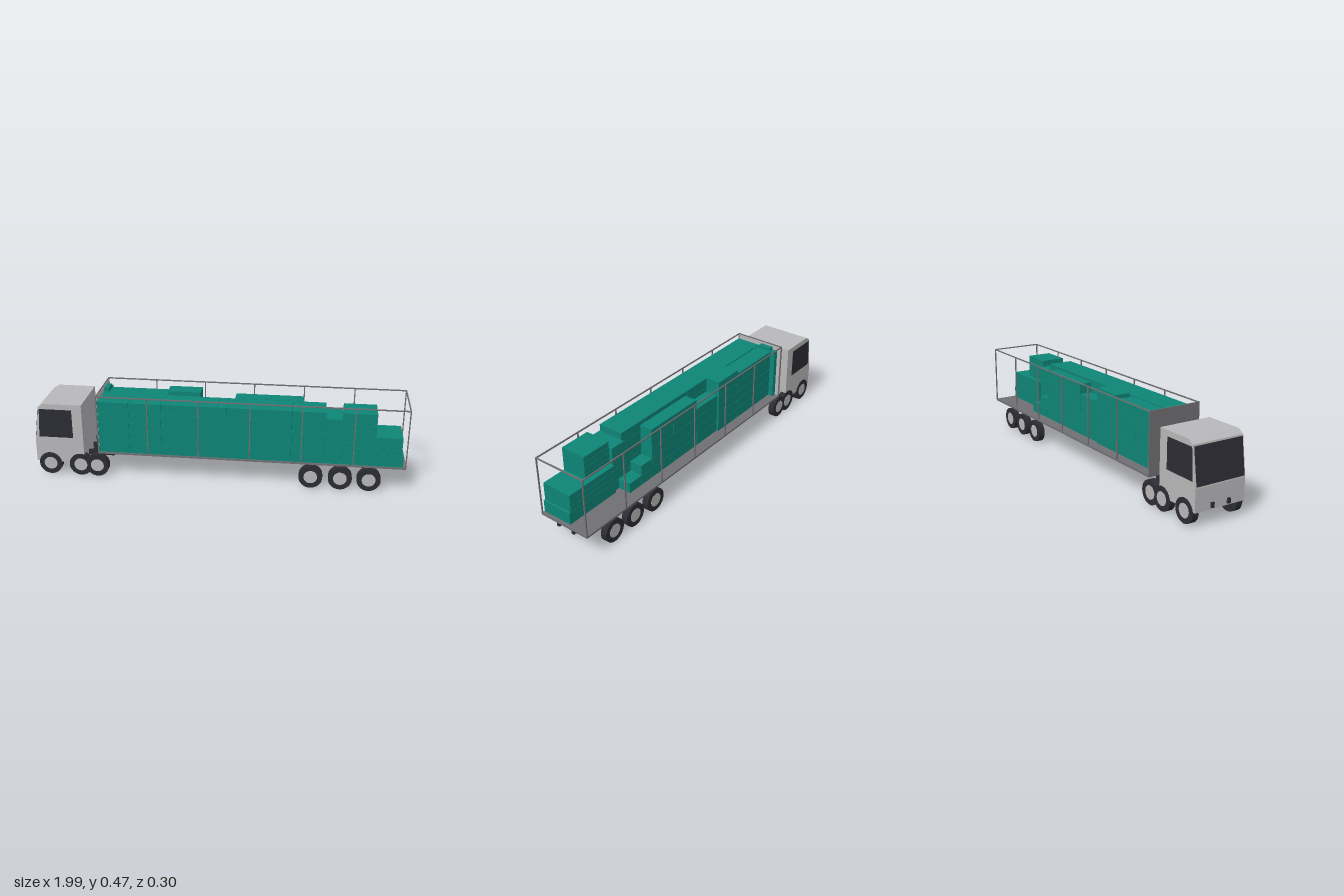
import * as THREE from 'three';

const mat = (name, color) => {
  const m = new THREE.MeshStandardMaterial({ color, flatShading: false });
  m.name = name;
  return m;
};

export function createModel() {
  const root = new THREE.Group();
  root.name = 'cargoTruck';
  const paint = mat('light grey paint', 0xb8b8ba);
  const steel = mat('trailer grey', 0x707074);
  const dark = mat('dark rubber and glass', 0x2c2c34);
  const teal = mat('teal cargo', 0x0e8576);

  const add = (name, geo, m, parent = root) => {
    const mesh = new THREE.Mesh(geo, m);
    mesh.name = name;
    parent.add(mesh);
    return mesh;
  };
  // Box given by its minimum and maximum on each axis
  const box = (name, m, x0, x1, y0, y1, z0, z1, parent = root) => {
    const b = add(name, new THREE.BoxGeometry(x1 - x0, y1 - y0, z1 - z0), m, parent);
    b.position.set((x0 + x1) / 2, (y0 + y1) / 2, (z0 + z1) / 2);
    return b;
  };

  // Cab: side profile extruded across the width
  const W = 0.146;
  const profile = new THREE.Shape([
    [-0.99, 0.075], [-0.725, 0.075], [-0.725, 0.41], [-0.93, 0.41], [-0.962, 0.39], [-0.99, 0.19],
  ].map(([x, y]) => new THREE.Vector2(x, y)));
  const cab = add('cab', new THREE.ExtrudeGeometry(profile, { depth: 2 * W, bevelEnabled: false }), paint);
  cab.position.z = -W;

  // Windshield on the sloping front
  const shield = add('windshield', new THREE.BoxGeometry(0.006, 0.185, 0.28), dark);
  shield.position.set(-0.976, 0.29, 0);
  shield.rotation.z = -Math.atan2(0.028, 0.2);

  // Side windows and tractor rails
  const pane = new THREE.Shape([
    [-0.967, 0.22], [-0.78, 0.22], [-0.78, 0.38], [-0.957, 0.38],
  ].map(([x, y]) => new THREE.Vector2(x, y)));
  for (const s of [1, -1]) {
    const w = add('sideWindow', new THREE.ExtrudeGeometry(pane, { depth: 0.003, bevelEnabled: false }), dark);
    w.position.z = s * W - 0.0015;
    const z = s * 0.048;
    box('tractorRail', dark, -1, -0.58, 0.084, 0.11, z - 0.008, z + 0.008);
    box('trailerRail', dark, -0.645, 0.985, 0.11, 0.138, z - 0.008, z + 0.008);
  }
  box('couplingPlate', dark, -0.675, -0.57, 0.118, 0.138, -0.034, 0.034);

  // Wheels with light hub discs on the outside
  const tyreGeo = new THREE.CylinderGeometry(0.063, 0.063, 0.035, 32).rotateX(Math.PI / 2);
  const hubGeo = new THREE.CylinderGeometry(0.036, 0.036, 0.004, 32).rotateX(Math.PI / 2);
  for (const x of [-0.915, -0.747, -0.655, 0.5, 0.655, 0.805]) {
    for (const s of [1, -1]) {
      const wheel = new THREE.Group();
      wheel.name = 'wheel';
      wheel.position.set(x, 0.064, s * 0.1305);
      add('tyre', tyreGeo, dark, wheel);
      add('hub', hubGeo, paint, wheel).position.z = s * 0.0165;
      root.add(wheel);
    }
  }

  // Trailer deck and front wall
  const X0 = -0.645, X1 = 0.992, D = 0.149, T = 0.006, TOP = 0.467;
  box('deck', steel, X0, X1, 0.137, 0.147, -D, D);
  box('frontWall', steel, X0, X0 + 0.005, 0.147, TOP, -D, D);
  box('frontWallLining', paint, X0 + 0.005, X0 + 0.007, 0.147, TOP - T, T - D, D - T);

  // Open frame: posts, top rails and rear crossbar
  for (const s of [1, -1]) {
    const z = s * (D - T / 2);
    box('topRail', steel, X0, X1, TOP - T, TOP, z - T / 2, z + T / 2);
    for (let i = 0; i <= 6; i++) {
      const x = X0 + ((X1 - X0 - T) * i) / 6;
      box('post', steel, x, x + T, 0.147, TOP, z - T / 2, z + T / 2);
    }
  }
  box('rearCrossbar', steel, X1 - T, X1, TOP - T, TOP, -D, D);

  // Cargo stacks: [x0, x1, y0, y1, z0, z1, layers]
  const F = 0.147;
  const stacks = [
    // tall row along the front side
    [-0.638, -0.47, F, 0.436, 0.005, 0.145, 5],
    [-0.47, -0.297, F, 0.436, 0.005, 0.145, 5],
    [-0.297, 0.005, F, 0.436, 0.005, 0.145, 5],
    [0.005, 0.05, F, 0.436, 0.005, 0.145, 5],
    [0.05, 0.392, F, 0.436, 0.005, 0.145, 5],
    [0.392, 0.567, F, 0.436, 0.005, 0.145, 5],
    [0.567, 0.655, F, 0.401, -0.013, 0.145, 4],
    // rear stack with a higher block on its inner half
    [0.655, 0.975, F, 0.213, -0.025, 0.145, 1],
    [0.655, 0.965, 0.213, 0.31, -0.025, 0.145, 3],
    [0.655, 0.828, 0.31, 0.437, 0.005, 0.145, 4],
    // second row
    [-0.61, -0.45, F, 0.432, -0.095, 0.003, 5],
    [-0.45, -0.285, F, 0.432, -0.095, 0.003, 5],
    [-0.285, -0.105, F, 0.429, -0.095, -0.013, 5],
    [-0.285, -0.105, 0.429, 0.453, -0.095, -0.013, 1],
    [-0.105, 0.08, F, 0.373, -0.085, -0.013, 4],
    [0.08, 0.27, F, 0.43, -0.085, -0.013, 5],
    [0.27, 0.445, F, 0.43, -0.085, -0.013, 5],
    [0.445, 0.53, F, 0.26, -0.085, -0.013, 2],
    [0.53, 0.62, F, 0.204, -0.085, -0.013, 1],
    // thin boards against the front wall
    [-0.638, -0.61, F, 0.435, -0.123, 0.003, 14],
    [-0.638, -0.61, 0.435, 0.453, -0.09, -0.015, 1],
  ];
  const cargo = new THREE.Group();
  cargo.name = 'cargo';
  root.add(cargo);
  const g = 0.0006;
  for (const [x0, x1, y0, y1, z0, z1, n] of stacks) {
    const h = (y1 - y0) / n;
    for (let i = 0; i < n; i++) {
      box('crate', teal, x0 + g, x1 - g, y0 + h * i + g, y0 + h * (i + 1) - g, z0, z1, cargo);
    }
  }
  return root;
}
